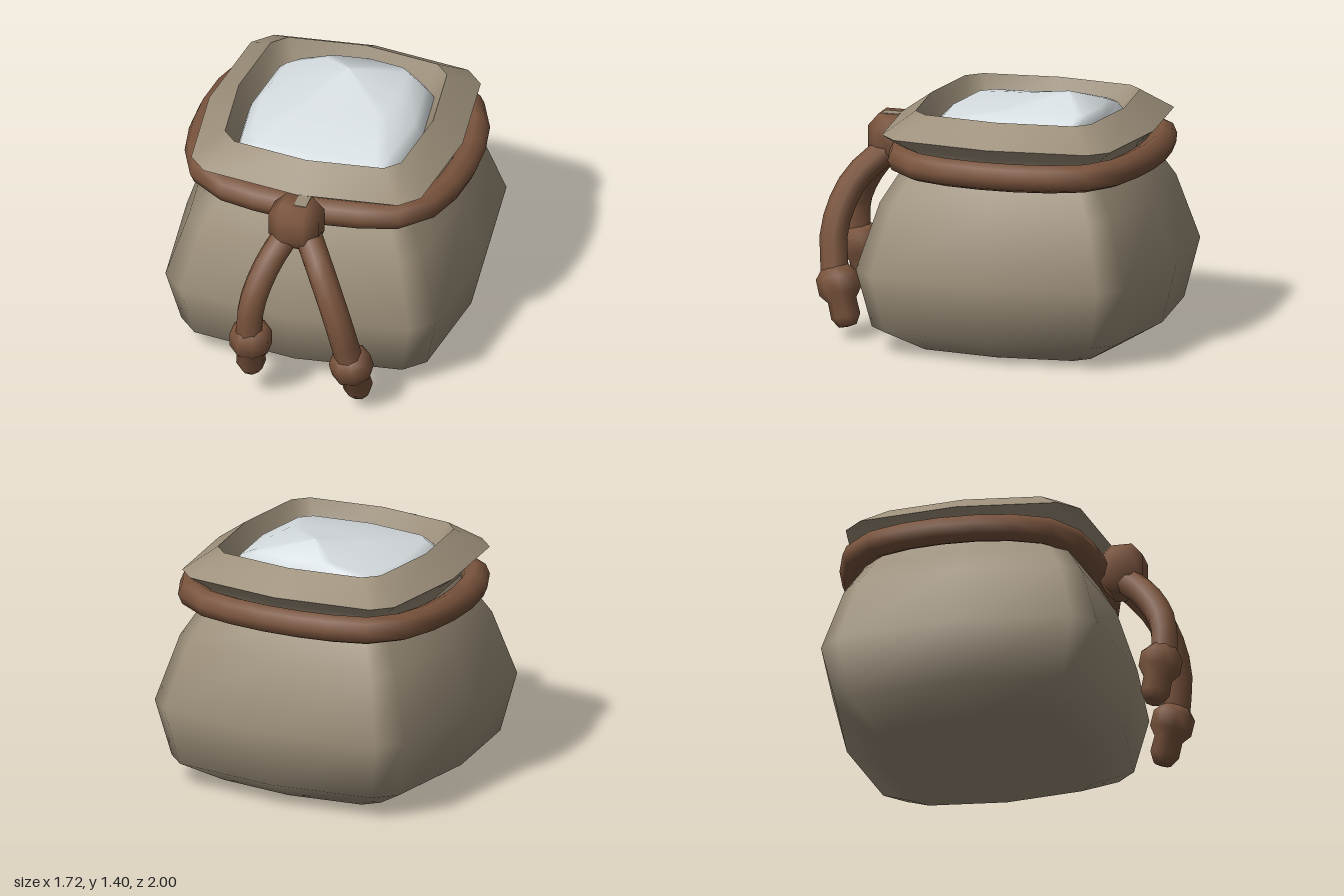
import * as THREE from 'three';
import { mergeVertices, toCreasedNormals } from 'three/addons/utils/BufferGeometryUtils.js';
import { ConvexGeometry } from 'three/addons/geometries/ConvexGeometry.js';

const CENTER_Z = -0.14;

// Rounded-square section with 12 corners, counter-clockwise seen from above
const SECTION = [];
for (let k = 0; k < 4; k++) {
  for (const [x, y] of [[1, 0], [0.907, 0.767], [0.767, 0.907]]) {
    const c = [1, 0, -1, 0][k], s = [0, 1, 0, -1][k];
    SECTION.push([c * x - s * y, -(s * x + c * y)]);
  }
}

// Skin through rings of [half width, y, x offset, z offset]
function loft(rings) {
  const pos = [], index = [], n = SECTION.length;
  for (const [r, y, ox = 0, oz = 0] of rings) {
    for (const [x, z] of SECTION) pos.push(x * r + ox, y, z * r + oz + CENTER_Z);
  }
  for (let i = 0; i < rings.length - 1; i++) {
    for (let j = 0; j < n; j++) {
      const a = i * n + j, b = i * n + (j + 1) % n;
      index.push(a, b, b + n, a, b + n, a + n);
    }
  }
  const geo = new THREE.BufferGeometry();
  geo.setAttribute('position', new THREE.Float32BufferAttribute(pos, 3));
  geo.setIndex(index);
  geo.computeVertexNormals();
  return geo;
}

export function createModel() {
  const group = new THREE.Group();
  const material = (name, color) => {
    const m = new THREE.MeshStandardMaterial({ color });
    m.name = name;
    return m;
  };
  const cloth = material('sackcloth', 0x9c8f7a);
  const rope = material('rope', 0x7a543d);
  const powder = material('powder', 0xd8dfe2);

  const add = (name, geo, mat) => {
    const mesh = new THREE.Mesh(geo, mat);
    mesh.name = name;
    group.add(mesh);
    return mesh;
  };

  // Sack body, closed at the bottom and gathered at the neck
  add('sackBody', loft([
    [0, 0], [0.56, 0], [0.78, 0.13], [0.86, 0.46], [0.74, 0.83], [0.64, 0.99], [0.6, 1.07],
  ]), cloth);

  // Flared rim with an inner wall
  add('sackRim', toCreasedNormals(loft([
    [0.6, 1.06], [0.64, 1.14], [0.73, 1.21], [0.56, 1.33], [0.48, 1.16],
  ]), 0.6), cloth);

  // Heaped contents with an off-centre peak
  add('contents', loft([
    [0.51, 1.16], [0.485, 1.22], [0.44, 1.275, 0.01, -0.01], [0.26, 1.335, 0.06, -0.18], [0, 1.4, 0, -0.24],
  ]), powder);

  // Rope around the neck
  const half = [[0.26, -0.82], [0.58, -0.71], [0.715, -0.42], [0.715, 0.09], [0.58, 0.38], [0.26, 0.485]];
  const loop = [...half, ...half.map(([x, z]) => [-x, z]).reverse()]
    .map(([x, z]) => new THREE.Vector3(x, 1.067, z));
  const ring = new THREE.CatmullRomCurve3(loop, true, 'centripetal');
  add('neckRope', new THREE.TubeGeometry(ring, 24, 0.079, 8, true), rope);

  // Knot: a cube with bevelled edges and corners
  const corners = [];
  for (const sx of [-1, 1]) for (const sy of [-1, 1]) for (const sz of [-1, 1]) {
    for (const [x, y, z] of [[1, 0.5, 0.5], [0.5, 1, 0.5], [0.5, 0.5, 1]]) {
      corners.push(new THREE.Vector3(sx * x * 0.143, sy * y * 0.14, sz * z * 0.12));
    }
  }
  let knotGeo = new ConvexGeometry(corners);
  knotGeo.deleteAttribute('normal');
  knotGeo = mergeVertices(knotGeo);
  knotGeo.computeVertexNormals();
  add('knot', knotGeo, rope).position.set(0.013, 1.067, 0.64);

  // Small cloth patch on top of the knot
  add('knotPatch', new THREE.BoxGeometry(0.07, 0.008, 0.1), cloth).position.set(0.045, 1.207, 0.635);

  // Hanging strands, each ending in a knob with a short tail
  const strands = [
    { side: 'right', path: [[-0.02, 1.02, 0.64], [-0.11, 0.85, 0.8], [-0.165, 0.65, 0.9], [-0.18, 0.42, 0.91]],
      from: [-0.17, 0.505, 0.905], to: [-0.185, 0.165, 0.85] },
    { side: 'left', path: [[0.07, 1.02, 0.64], [0.21, 0.85, 0.8], [0.325, 0.6, 0.875], [0.38, 0.36, 0.855]],
      from: [0.37, 0.42, 0.865], to: [0.42, 0.07, 0.765] },
  ];
  const profile = [[0, 0], [0.075, 0.01], [0.118, 0.06], [0.118, 0.15], [0.08, 0.2], [0.082, 0.29], [0.05, 0.345], [0, 0.35]]
    .map(([r, t]) => new THREE.Vector2(r, 0.35 - t)).reverse();
  for (const { side, path, from, to } of strands) {
    const curve = new THREE.CatmullRomCurve3(path.map(p => new THREE.Vector3(...p)));
    add(side + 'Strand', new THREE.TubeGeometry(curve, 8, 0.077, 8), rope);
    const end = new THREE.Vector3(...to);
    const up = new THREE.Vector3(...from).sub(end).normalize();
    const knob = add(side + 'StrandEnd', new THREE.LatheGeometry(profile, 8, Math.PI / 8), rope);
    knob.position.copy(end);
    knob.quaternion.setFromUnitVectors(new THREE.Vector3(0, 1, 0), up);
  }

  return group;
}
